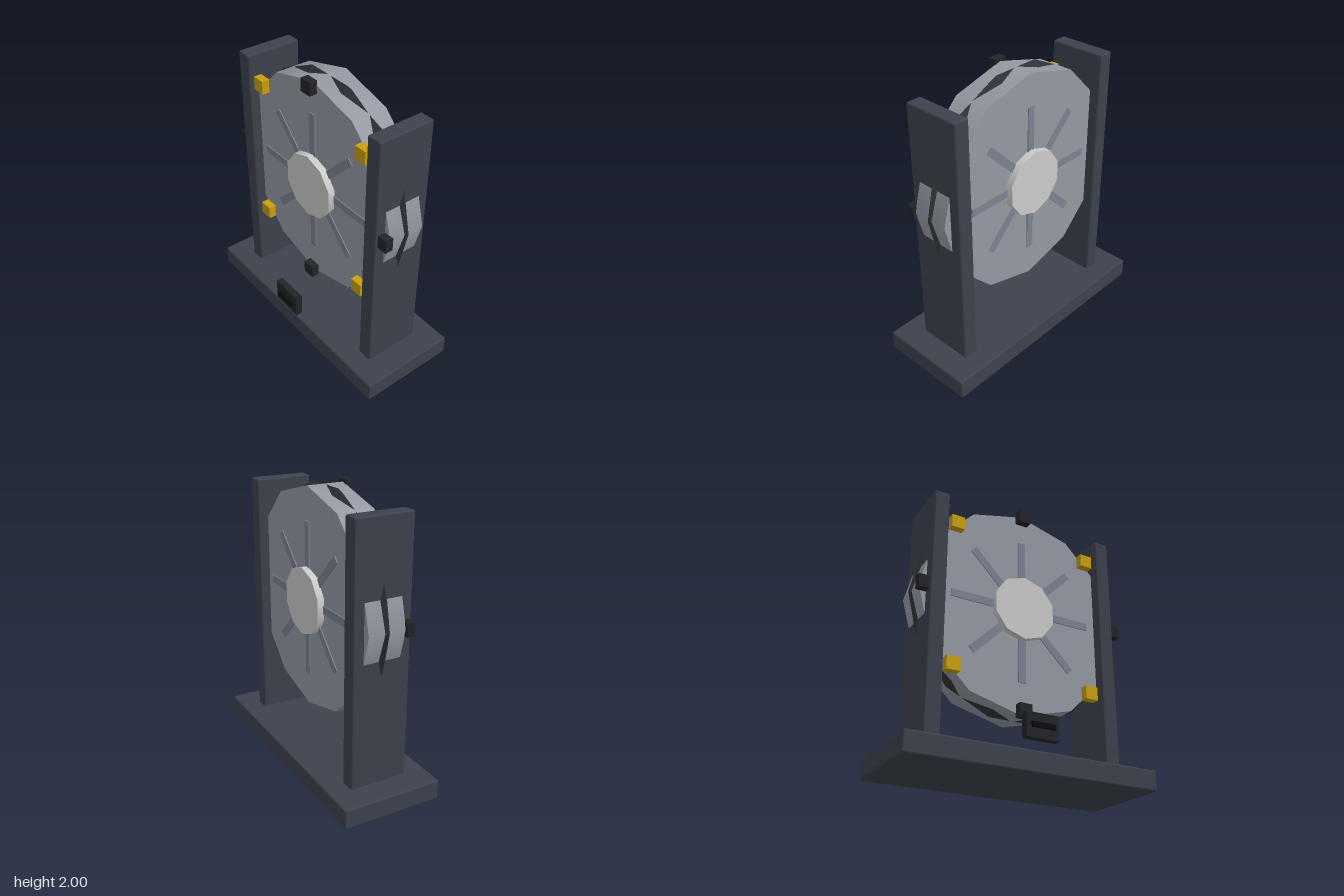
import * as THREE from 'three';
import { RoundedBoxGeometry } from 'three/addons/geometries/RoundedBoxGeometry.js';

const CY = 1.21; // height of the wheel axis
const CZ = -0.026; // depth centre of the frame and wheel

const mat = (color, extra = {}) => new THREE.MeshStandardMaterial({ color, ...extra });

export function createModel() {
  const model = new THREE.Group();
  const frameMat = mat(0x3d424c);
  const drumMat = mat(0x959aa3);
  const spokeMat = mat(0x7c8491);
  const hubMat = mat(0xcccccc);
  const rimMat = mat(0x2e3238, { flatShading: true });
  const blackMat = mat(0x222428);
  const slotMat = mat(0x0c0c0e);
  const goldMat = mat(0xc9a010);

  const add = (name, geometry, material, x, y, z, parent = model) => {
    const mesh = new THREE.Mesh(geometry, material);
    mesh.name = name;
    mesh.position.set(x, y, z);
    parent.add(mesh);
    return mesh;
  };

  // Frame: base slab and two uprights with softened edges
  add('base', new RoundedBoxGeometry(1.8, 0.144, 0.716, 2, 0.014), frameMat, 0, 0.072, CZ);
  for (const s of [-1, 1]) {
    add(s > 0 ? 'leftPost' : 'rightPost',
      new RoundedBoxGeometry(0.112, 1.8, 0.416, 2, 0.014), frameMat, s * 0.664, 1.03, CZ);
  }

  // Wheel: twelve-sided drum, ten-sided hub, faceted rim ring
  const wheel = new THREE.Group();
  wheel.name = 'wheel';
  wheel.position.set(0, CY, CZ);
  model.add(wheel);
  add('drum', new THREE.CylinderGeometry(0.774, 0.774, 0.266, 12), drumMat, 0, 0, 0, wheel)
    .rotation.x = Math.PI / 2;
  add('hub', new THREE.CylinderGeometry(0.237, 0.237, 0.364, 10), hubMat, 0, 0, 0, wheel)
    .rotation.x = Math.PI / 2;
  add('rimRing', new THREE.TorusGeometry(0.73, 0.06, 4, 14), rimMat, 0, 0, 0, wheel);

  // Spokes: four bars through the drum, standing just proud of both faces
  for (let i = 0; i < 4; i++) {
    add('spoke', new THREE.BoxGeometry(1.085, 0.056, 0.28), spokeMat, 0, 0, 0, wheel)
      .rotation.z = i * Math.PI / 4;
  }

  // Markers around the front face: black on the axes, gold on the diagonals
  for (let i = 0; i < 8; i++) {
    const a = i * Math.PI / 4;
    const gold = i % 2 === 1;
    const size = gold ? 0.096 : 0.092;
    add(gold ? 'goldMarker' : 'blackMarker', new THREE.BoxGeometry(size, size, 0.058),
      gold ? goldMat : blackMat, Math.cos(a) * 0.748, CY + Math.sin(a) * 0.748, 0.133);
  }

  // Front panel with its slot bar
  add('panel', new THREE.BoxGeometry(0.24, 0.165, 0.05), blackMat, 0, 0.292, 0.338);
  add('slotBar', new THREE.BoxGeometry(0.17, 0.034, 0.03), slotMat, 0, 0.292, 0.368);

  return model;
}
